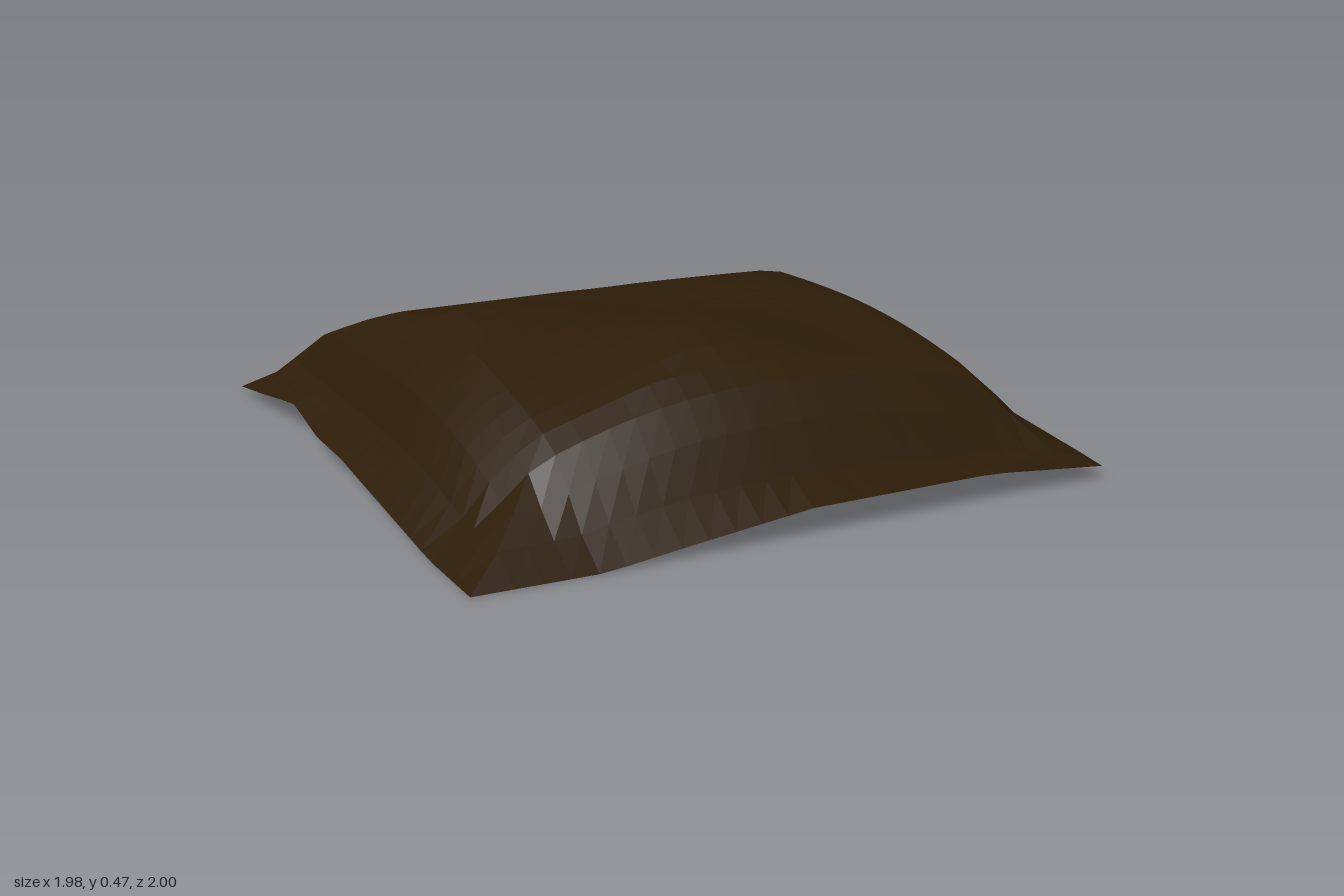
import * as THREE from 'three';

// Piecewise-linear profile through [position, height] points
function profile(points) {
  return (t) => {
    if (t <= points[0][0]) return points[0][1];
    for (let i = 1; i < points.length; i++) {
      const [a, ya] = points[i - 1];
      const [b, yb] = points[i];
      if (t <= b) return ya + ((yb - ya) * (t - a)) / (b - a);
    }
    return points[points.length - 1][1];
  };
}

// Flank heights across x and along z
const flankX = profile([[-0.88, 0.15], [-0.8, 0.27], [-0.7, 0.36], [-0.6, 0.41], [-0.5, 0.45], [0, 0.5],
  [0.5, 0.44], [0.6, 0.41], [0.72, 0.365], [0.8, 0.29], [0.88, 0.17]]);
const flankZ = profile([[-0.88, 0.1], [-0.82, 0.165], [-0.72, 0.24], [-0.65, 0.27], [-0.5, 0.345], [-0.4, 0.375],
  [-0.3, 0.385], [-0.2, 0.42], [-0.1, 0.46], [0.3, 0.5], [0.5, 0.46], [0.6, 0.42], [0.74, 0.345],
  [0.8, 0.26], [0.88, 0.135]]);

// Wavy open rim of the mound
const rimFront = profile([[-1, 0], [-0.62, 0], [-0.4, 0.03], [0, 0.08], [0.6, 0.08], [1, 0.04]]);
const rimBack = profile([[-1, 0.02], [-0.4, 0.03], [1, 0.02]]);
const rimRight = profile([[-1, 0.02], [-0.48, 0.1], [-0.25, 0.07], [0, 0.07], [0.7, 0], [1, 0]]);
const rimLeft = profile([[-1, 0.02], [-0.45, 0.1], [0.2, 0.115], [1, 0.04]]);

// Rounded humps on the crown: x, z, height, radius
const humps = [[-0.05, 0.38, 0.097, 0.33], [-0.46, -0.1, 0.065, 0.3], [0.42, -0.02, 0.065, 0.28]];
function crown(x, z) {
  return humps.reduce((y, [hx, hz, h, r]) =>
    y + h * Math.exp(-((x - hx) ** 2 + (z - hz) ** 2) / (r * r)), 0.37);
}

// Corners sag: front right the most, back right not at all
function cornerSag(x, z) {
  const w = x * x * z * z;
  if (z < 0) return x < 0 ? 0 : 0.4 * w;
  return x < 0 ? Math.min(1.5 * w, 0.5) : Math.min(0.8 * w, 0.35);
}

export function createModel() {
  const group = new THREE.Group();
  group.name = 'earthMound';

  // Square sheet: a wide outer ring around an even inner grid
  const n = 24;
  const line = (i) => (i === 0 ? -1 : i === n ? 1 : -0.88 + (i - 1) * 0.08);
  const geometry = new THREE.PlaneGeometry(2, 2, n, n);
  const pos = geometry.attributes.position;
  for (let iz = 0; iz <= n; iz++) {
    for (let ix = 0; ix <= n; ix++) {
      let x = line(ix);
      let z = line(iz);
      let y = Math.min(flankX(x), flankZ(z), crown(x, z)) * (1 - cornerSag(x, z));
      if (iz === n) {
        y = rimFront(x);
        z = 1 - 0.02 * Math.abs(x);
      } else if (iz === 0) y = rimBack(x);
      else if (ix === 0) {
        y = rimRight(z);
        x += 0.015 * Math.exp(-(((z + 0.5) / 0.25) ** 2));
      } else if (ix === n) y = rimLeft(z);
      pos.setXYZ(iz * (n + 1) + ix, x * 0.99, y, z);
    }
  }

  // Diagonals of the squares run outward to the four corners
  const index = [];
  for (let iz = 0; iz < n; iz++) {
    for (let ix = 0; ix < n; ix++) {
      const a = iz * (n + 1) + ix;
      const b = a + n + 1;
      const c = b + 1;
      const d = a + 1;
      if ((ix < n / 2) === (iz < n / 2)) index.push(a, b, c, a, c, d);
      else index.push(a, b, d, b, c, d);
    }
  }
  geometry.setIndex(index);
  geometry.computeVertexNormals();

  const mound = new THREE.Mesh(geometry, new THREE.MeshStandardMaterial({
    color: 0x2c1c08, flatShading: true, side: THREE.DoubleSide,
  }));
  mound.name = 'moundSurface';
  group.add(mound);
  return group;
}
